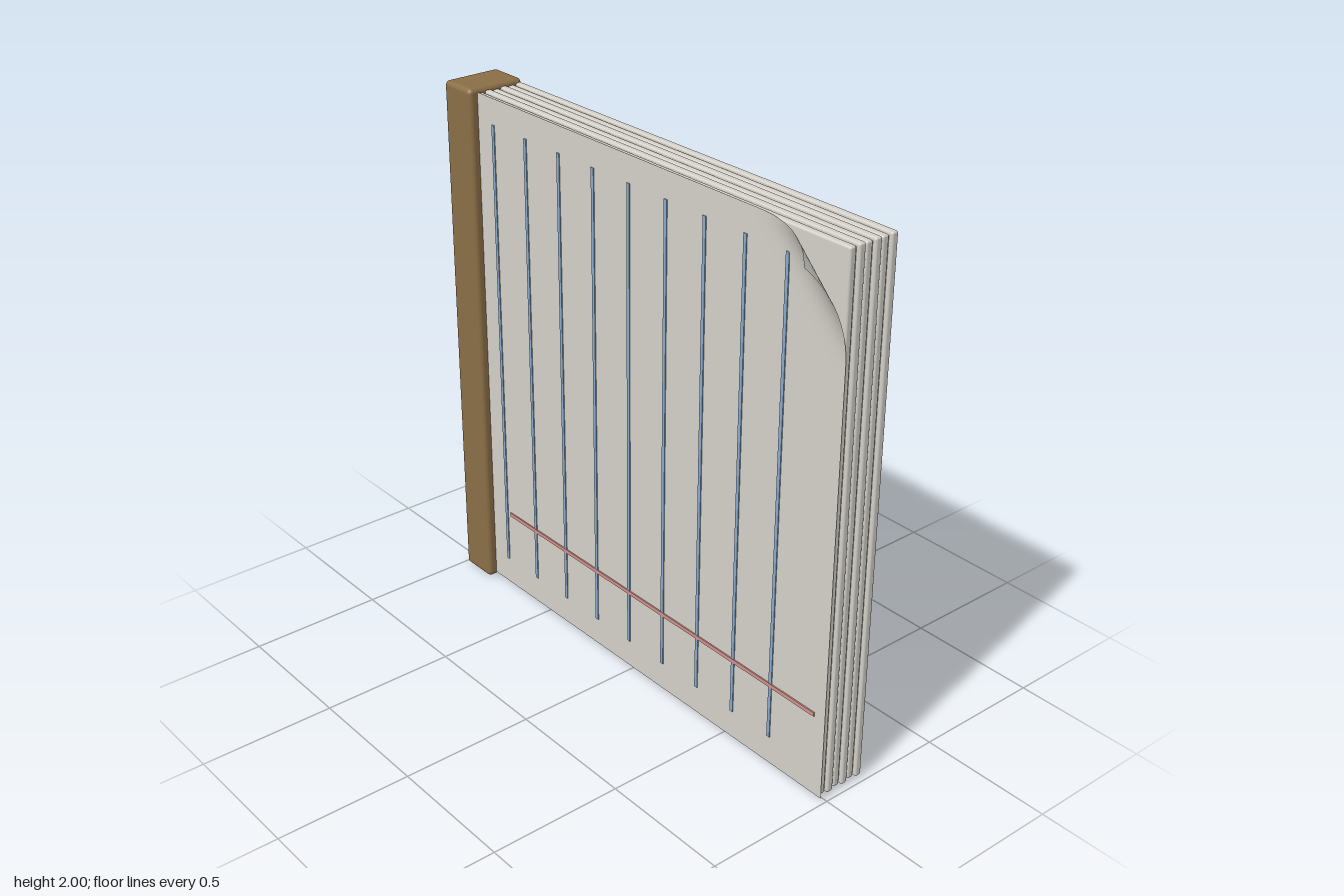
import * as THREE from 'three';
import { RoundedBoxGeometry } from 'three/addons/geometries/RoundedBoxGeometry.js';

export function createModel() {
  const model = new THREE.Group();
  model.name = 'notepad';

  const material = (name, color, side = THREE.FrontSide) => {
    const m = new THREE.MeshStandardMaterial({ color, side });
    m.name = name;
    return m;
  };
  const binding = material('binding brown', 0x8b6f47);
  const paper = material('paper', 0xd4d1c9, THREE.DoubleSide);
  const blue = material('rule blue', 0x8aabcd);
  const red = material('margin red', 0xd4908c);

  const add = (name, geometry, mat, x = 0, y = 0, z = 0) => {
    const mesh = new THREE.Mesh(geometry, mat);
    mesh.name = name;
    mesh.position.set(x, y, z);
    model.add(mesh);
    return mesh;
  };

  // Binding strip along the model's right edge
  add('bindingStrip', new RoundedBoxGeometry(0.155, 2, 0.23, 3, 0.018), binding, -0.917, 1, -0.063);

  // Stack of page bundles with narrow grooves between them
  const pitch = 0.0333;
  for (let i = 0; i < 6; i++) {
    const right = i % 2 ? 0.979 : 0.984;
    const height = i % 2 ? 1.962 : 1.97;
    add('pageBundle', new RoundedBoxGeometry(right + 0.88, height, 0.027, 2, 0.008), paper,
      (right - 0.88) / 2, 1, -0.1625 + i * pitch);
  }
  add('pageCore', new THREE.BoxGeometry(1.84, 1.945, 0.17), paper, 0.05, 1, -0.08);

  // Curl lifts whatever lies near the upper outer corner
  const curl = (x, y) => {
    const t = Math.max(0, (x - 0.987 + y - 1.987 + 0.38) / 0.38);
    const lift = t * t;
    return [x - 0.035 * lift, y - 0.033 * lift, 0.018 + 0.157 * lift];
  };

  // Top sheet with its curled corner
  const sheet = new THREE.PlaneGeometry(1.847, 1.974, 72, 76);
  sheet.translate(0.0635, 1, 0);
  const pos = sheet.attributes.position;
  for (let i = 0; i < pos.count; i++) pos.setXYZ(i, ...curl(pos.getX(i), pos.getY(i)));
  sheet.computeVertexNormals();
  add('topSheet', sheet, paper);

  // Ruled lines and the margin line
  for (let i = 0; i < 9; i++) {
    add('ruledLine', new THREE.BoxGeometry(0.014, 1.77, 0.004), blue, -0.75 + i * 0.185, 1.005, 0.0195);
  }
  add('marginLine', new THREE.BoxGeometry(1.665, 0.015, 0.005), red, 0.107, 0.33, 0.02);

  return model;
}
